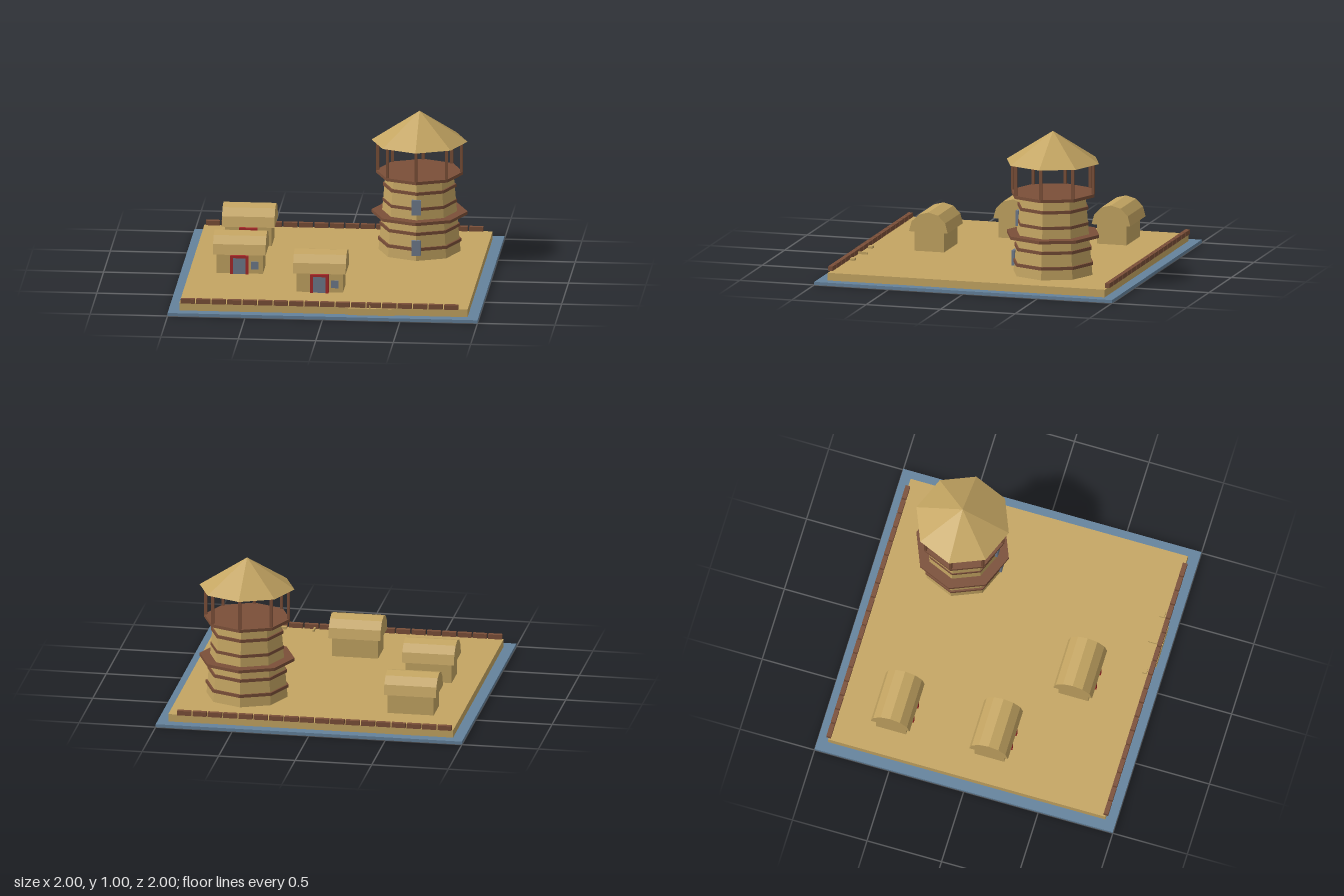
import * as THREE from 'three';

const mat = (name, color) => {
  const m = new THREE.MeshStandardMaterial({ color, flatShading: true });
  m.name = name;
  return m;
};

export function createModel() {
  const sand = mat('sand', 0xc4a562);
  const wood = mat('wood', 0x7b4f38);
  const water = mat('water', 0x64829c);
  const red = mat('red', 0xa82a2a);
  const slate = mat('slate', 0x6f7b8c);

  const model = new THREE.Group();
  model.name = 'desertOutpost';

  const add = (parent, name, geometry, material, x, y, z) => {
    const mesh = new THREE.Mesh(geometry, material);
    mesh.name = name;
    mesh.position.set(x, y, z);
    parent.add(mesh);
    return mesh;
  };
  // Box spanning y0..y1, centred on x and z
  const box = (parent, name, material, w, d, x, y0, y1, z) =>
    add(parent, name, new THREE.BoxGeometry(w, y1 - y0, d), material, x, (y0 + y1) / 2, z);
  // Octagonal prism or frustum with corners on the axes
  const octagon = (parent, name, material, rTop, rBottom, y0, y1) =>
    add(parent, name, new THREE.CylinderGeometry(rTop, rBottom, y1 - y0, 8), material, 0, (y0 + y1) / 2, 0);

  // Water slab and raised ground
  box(model, 'waterBase', water, 2, 2, 0, 0, 0.02, 0);
  box(model, 'ground', sand, 1.86, 1.86, 0, 0.02, 0.07, 0);

  // Low plank fences along front and back
  for (const z of [-0.93, 0.93]) {
    const fence = new THREE.Group();
    fence.name = z > 0 ? 'frontFence' : 'backFence';
    for (let i = 0; i < 18; i++) {
      box(fence, 'fencePlank', wood, 0.09, 0.03, -0.875 + i * 0.1, 0.07, 0.1, z);
    }
    model.add(fence);
  }

  // Small landing at the front edge with its stubs
  const landing = new THREE.Group();
  landing.name = 'landing';
  box(landing, 'landingStep', sand, 0.28, 0.1, 0.3, 0.02, 0.065, 0.897);
  for (const s of [-1, 1]) {
    box(landing, 'landingCheek', sand, 0.02, 0.09, 0.3 + s * 0.15, 0.02, 0.065, 0.895);
    box(landing, 'landingStub', sand, 0.04, 0.03, 0.3 + s * 0.2, 0.07, 0.085, 0.89);
  }
  box(landing, 'landingDivider', sand, 0.01, 0.1, 0.3, 0.06, 0.085, 0.9);
  model.add(landing);

  // Barrel-roofed huts
  const roofShape = new THREE.Shape();
  for (let i = 0; i <= 6; i++) {
    const a = (i * Math.PI) / 6;
    roofShape[i ? 'lineTo' : 'moveTo'](0.13 * Math.cos(a), 0.13 * Math.sin(a));
  }
  const roofGeometry = new THREE.ExtrudeGeometry(roofShape, { depth: 0.34, bevelEnabled: false });
  roofGeometry.translate(0, 0, -0.17).rotateY(Math.PI / 2);

  for (const [x, z] of [[-0.605, -0.56], [-0.605, 0.1], [-0.053, 0.5]]) {
    const hut = new THREE.Group();
    hut.name = 'hut';
    box(hut, 'hutWalls', sand, 0.3, 0.2, 0, 0.07, 0.2, 0);
    add(hut, 'hutRoof', roofGeometry, sand, 0, 0.2, 0);
    box(hut, 'door', slate, 0.09, 0.02, 0, 0.07, 0.178, 0.105);
    for (const s of [-1, 1]) box(hut, 'doorJamb', red, 0.018, 0.03, s * 0.05, 0.07, 0.19, 0.11);
    box(hut, 'doorLintel', red, 0.118, 0.03, 0, 0.177, 0.192, 0.11);
    box(hut, 'window', slate, 0.048, 0.01, 0.099, 0.1, 0.15, 0.1);
    hut.position.set(x, 0, z);
    model.add(hut);
  }

  // Octagonal watchtower
  const tower = new THREE.Group();
  tower.name = 'watchtower';
  octagon(tower, 'towerBody', sand, 0.22, 0.265, 0.07, 0.585);
  const rings = [[0.145, 0.27], [0.245, 0.26], [0.325, 0.31], [0.405, 0.24], [0.507, 0.237]];
  for (const [y, r] of rings) octagon(tower, 'towerRing', wood, r, r, y - 0.01, y + 0.01);
  octagon(tower, 'lookoutFloor', wood, 0.28, 0.28, 0.58, 0.6);
  for (let i = 0; i < 8; i++) {
    const a = (i * Math.PI) / 4;
    box(tower, 'roofPost', wood, 0.018, 0.018, 0.27 * Math.sin(a), 0.6, 0.8, 0.27 * Math.cos(a));
  }
  add(tower, 'towerRoof', new THREE.ConeGeometry(0.31, 0.2, 8), sand, 0, 0.9, 0);
  box(tower, 'towerDoor', slate, 0.06, 0.02, 0, 0.105, 0.205, 0.26);
  box(tower, 'towerWindow', slate, 0.06, 0.02, 0, 0.367, 0.467, 0.233);
  tower.position.set(0.5, 0, -0.453);
  model.add(tower);

  return model;
}
